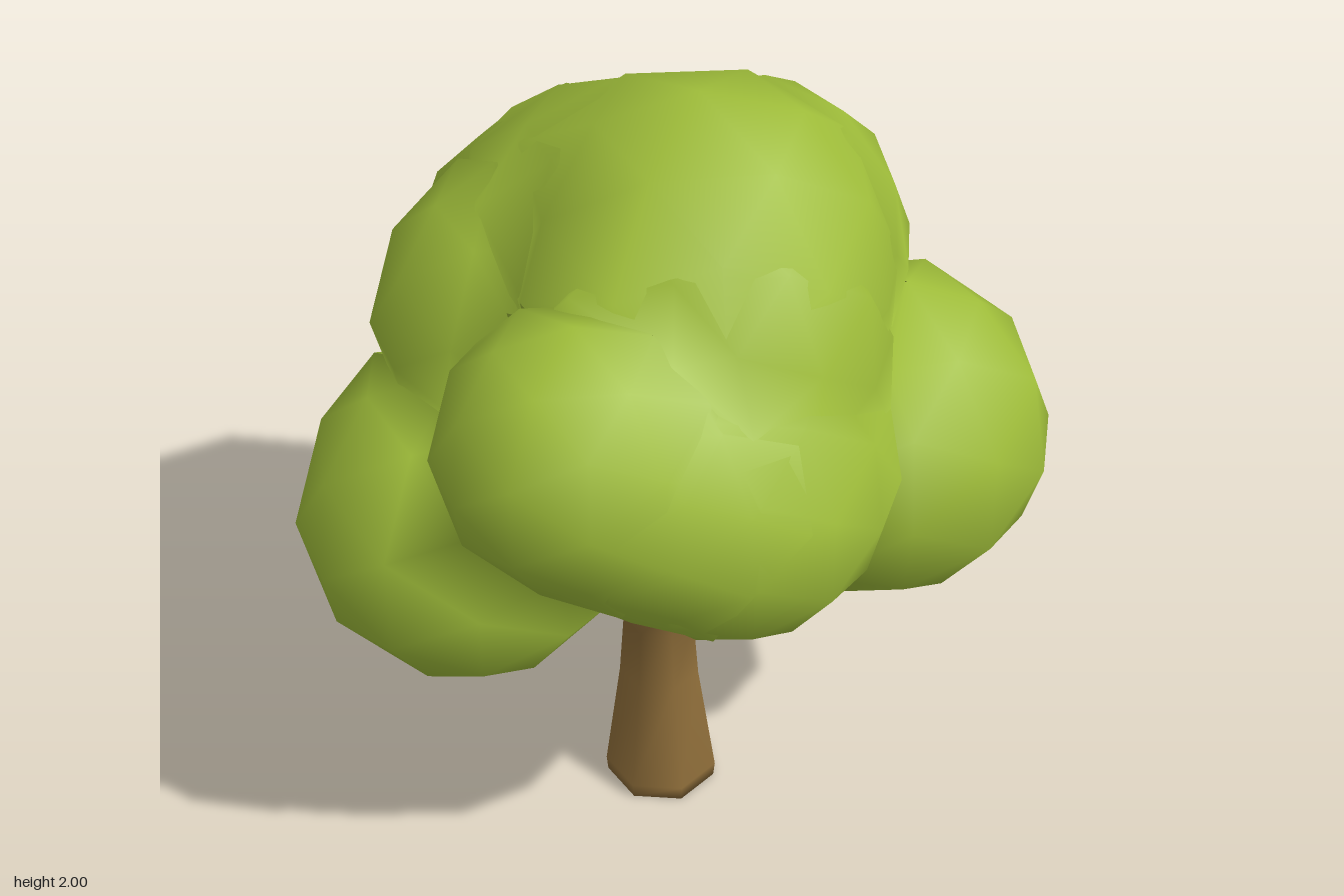
import * as THREE from 'three';

// Foliage puffs: x, y, z, radius
const PUFFS = [
  [0.05, 1.57, 0.06, 0.43],    // crown
  [-0.10, 1.50, -0.12, 0.39],  // crown back
  [0.21, 1.49, -0.16, 0.355],  // upper right
  [0.07, 1.46, 0.23, 0.36],    // upper front
  [-0.18, 1.34, -0.31, 0.395], // back
  [-0.33, 1.37, -0.08, 0.35],  // upper left
  [0.485, 1.06, 0.04, 0.40],   // low right
  [-0.485, 0.95, 0.10, 0.40],  // low left
  [-0.26, 1.39, 0.47, 0.315],  // front left
  [-0.07, 1.28, 0.48, 0.29],   // front bridge
  [0.09, 1.20, 0.40, 0.345],   // front middle
  [0.16, 1.04, -0.475, 0.315], // low back
  [0.00, 1.23, 0.00, 0.38],    // core
];

// Smoothly blended distance to all puffs, with its outward direction
function blend(p, k = 0.03) {
  let sum = 0;
  const dir = new THREE.Vector3();
  const d = new THREE.Vector3();
  for (const [x, y, z, r] of PUFFS) {
    d.set(p.x - x, p.y - y, p.z - z);
    const w = Math.exp(-(d.length() - r) / k);
    sum += w;
    dir.addScaledVector(d.normalize(), w);
  }
  return { dist: -k * Math.log(sum), dir: dir.normalize() };
}

// One low-poly puff, pushed out near the seams so neighbours flow together
function puffGeometry([x, y, z, r]) {
  const geo = new THREE.IcosahedronGeometry(r, 1).translate(x, y, z);
  const pos = geo.attributes.position;
  const nor = geo.attributes.normal;
  const p = new THREE.Vector3();
  for (let i = 0; i < pos.count; i++) {
    p.fromBufferAttribute(pos, i);
    for (let step = 0; step < 2; step++) {
      const { dist, dir } = blend(p);
      if (dist > -0.09) p.addScaledVector(dir, -dist);
    }
    pos.setXYZ(i, p.x, p.y, p.z);
    const n = blend(p).dir;
    nor.setXYZ(i, n.x, n.y, n.z);
  }
  return geo;
}

// Seven-sided trunk through rings of [y, centre x, centre z, radius x, radius z]
function trunkGeometry(rings, sides = 7) {
  const verts = [], index = [];
  for (const [y, cx, cz, rx, rz] of rings) {
    for (let i = 0; i < sides; i++) {
      const a = (i / sides) * Math.PI * 2 + 0.25;
      verts.push(cx + Math.sin(a) * rx, y, cz + Math.cos(a) * rz);
    }
  }
  for (let j = 0; j < rings.length - 1; j++) {
    for (let i = 0; i < sides; i++) {
      const a = j * sides + i, b = j * sides + (i + 1) % sides;
      index.push(a, b, b + sides, a, b + sides, a + sides);
    }
  }
  // underside
  for (let i = 1; i < sides - 1; i++) index.push(0, i + 1, i);
  const geo = new THREE.BufferGeometry();
  geo.setAttribute('position', new THREE.Float32BufferAttribute(verts, 3));
  geo.setIndex(index);
  geo.computeVertexNormals();
  return geo;
}

// Tapered limb between two points
function limb(from, to, r0, r1, material) {
  const a = new THREE.Vector3(...from), b = new THREE.Vector3(...to);
  const dir = b.clone().sub(a);
  const mesh = new THREE.Mesh(new THREE.CylinderGeometry(r1, r0, dir.length(), 6), material);
  mesh.position.copy(a).add(b).multiplyScalar(0.5);
  mesh.quaternion.setFromUnitVectors(new THREE.Vector3(0, 1, 0), dir.normalize());
  mesh.name = 'branch';
  return mesh;
}

export function createModel() {
  const leaf = new THREE.MeshStandardMaterial({ color: 0x9fbd3a });
  leaf.name = 'leaf green';
  const bark = new THREE.MeshStandardMaterial({ color: 0x8f6e3a });
  bark.name = 'bark brown';

  const tree = new THREE.Group();
  tree.name = 'tree';

  const trunk = new THREE.Mesh(trunkGeometry([
    [0.00, -0.03, 0.01, 0.138, 0.140],
    [0.04, -0.03, 0.01, 0.142, 0.145],
    [0.35, -0.035, 0.02, 0.100, 0.100],
    [0.51, -0.035, 0.01, 0.088, 0.092],
    [0.64, -0.05, 0.01, 0.175, 0.135],
    [0.72, -0.03, 0.00, 0.165, 0.150],
    [1.00, -0.08, -0.12, 0.090, 0.090],
  ]), bark);
  trunk.name = 'trunk';
  tree.add(trunk);

  // Branches reaching into the foliage
  const branches = new THREE.Group();
  branches.name = 'branches';
  branches.add(
    limb([-0.02, 0.59, 0.01], [0.30, 0.86, 0.04], 0.09, 0.07, bark),
    limb([-0.05, 0.61, 0.02], [-0.32, 0.82, 0.08], 0.09, 0.06, bark),
    limb([-0.01, 0.62, 0.03], [0.07, 1.00, 0.25], 0.08, 0.055, bark),
    limb([-0.02, 0.62, -0.01], [0.10, 0.92, -0.30], 0.08, 0.055, bark),
  );
  tree.add(branches);

  const foliage = new THREE.Group();
  foliage.name = 'foliage';
  for (const puff of PUFFS) {
    const mesh = new THREE.Mesh(puffGeometry(puff), leaf);
    mesh.name = 'leafPuff';
    foliage.add(mesh);
  }
  tree.add(foliage);
  return tree;
}
